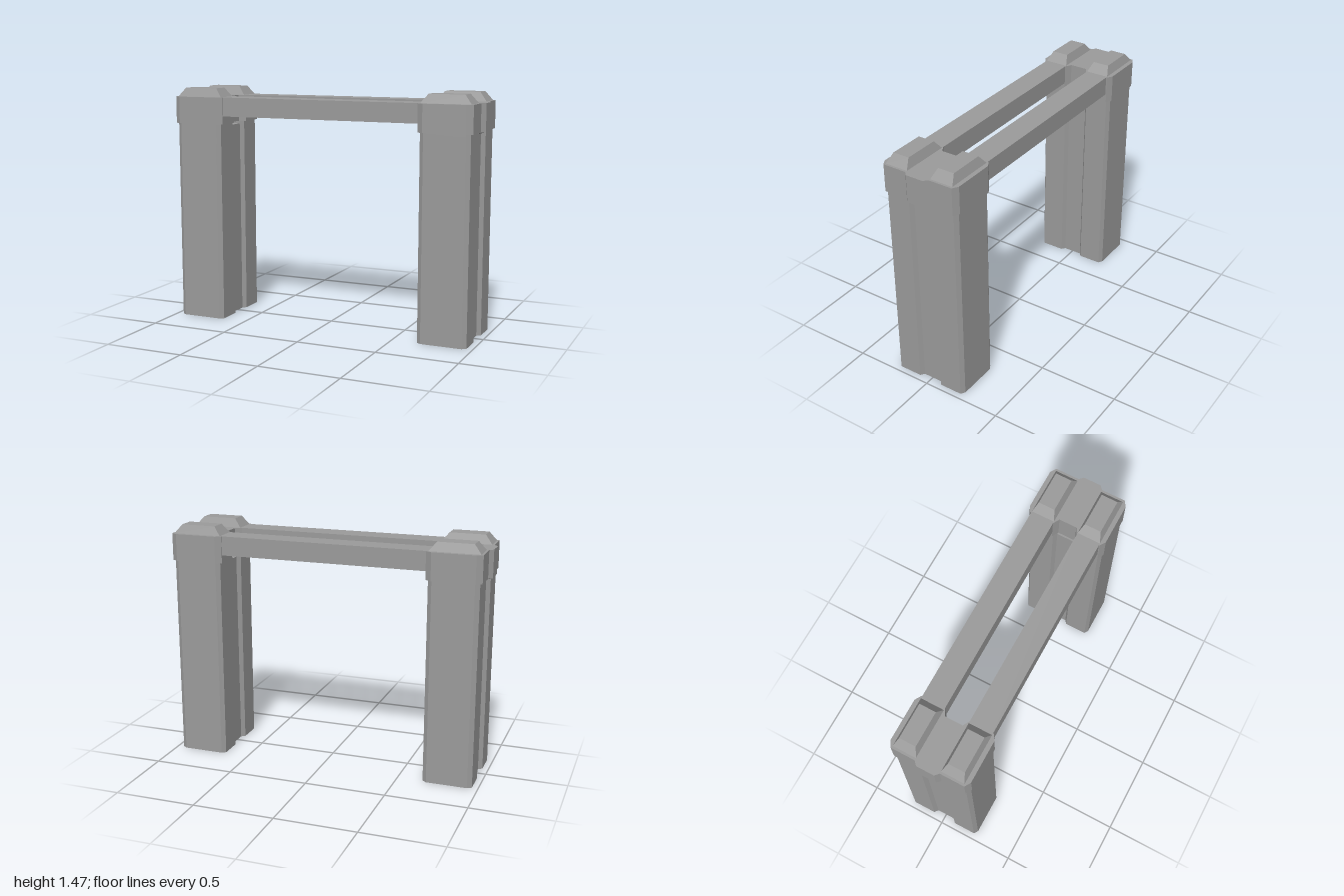
import * as THREE from 'three';

const material = new THREE.MeshStandardMaterial({ color: 0x9a9a9a, flatShading: true });
const thinMaterial = material.clone();
thinMaterial.side = THREE.DoubleSide;

function add(parent, name, geometry, mat = material) {
  const mesh = new THREE.Mesh(geometry, mat);
  mesh.name = name;
  parent.add(mesh);
  return mesh;
}

// Upright prism from a half plan of [x, z] points (z >= 0), mirrored across z = 0
function mirroredPrism(half, y0, y1) {
  const plan = [...half, ...half.map(([x, z]) => [x, -z]).reverse()];
  return prism(plan, y0, y1);
}

// Upright prism from a closed plan of [x, z] points
function prism(plan, y0, y1) {
  const shape = new THREE.Shape(plan.map(([x, z]) => new THREE.Vector2(x, -z)));
  const geometry = new THREE.ExtrudeGeometry(shape, { depth: y1 - y0, bevelEnabled: false });
  return geometry.rotateX(-Math.PI / 2).translate(0, y0, 0);
}

// Box with its top face inset on all sides
function frustum(x0, x1, z0, z1, y0, y1, insetX, insetZ) {
  const geometry = new THREE.BoxGeometry(x1 - x0, y1 - y0, z1 - z0);
  const p = geometry.attributes.position;
  for (let i = 0; i < p.count; i++) {
    if (p.getY(i) > 0) {
      p.setX(i, p.getX(i) - Math.sign(p.getX(i)) * insetX);
      p.setZ(i, p.getZ(i) - Math.sign(p.getZ(i)) * insetZ);
    }
  }
  geometry.computeVertexNormals();
  return geometry.translate((x0 + x1) / 2, (y0 + y1) / 2, (z0 + z1) / 2);
}

function buildPost() {
  const post = new THREE.Group();

  // Leg: two chamfered columns joined by a recessed web
  const column = [[0.938, 0.06], [0.962, 0.078], [0.962, 0.223], [0.936, 0.24],
    [0.682, 0.24], [0.657, 0.223], [0.657, 0.078], [0.68, 0.06]];
  add(post, 'leg', mirroredPrism(column, 0, 1.235));

  // Column tops rise past the web to meet the cap
  for (const s of [1, -1]) {
    add(post, 'columnTop', prism(column.map(([x, z]) => [x, s * z]), 1.235, 1.253));
  }

  // Cap: middle is pushed outwards, proud outside and recessed inside
  const cap = [[1.0, 0.055], [0.976, 0.078], [0.976, 0.228], [0.94, 0.25],
    [0.679, 0.25], [0.643, 0.228], [0.643, 0.078], [0.683, 0.055]];
  add(post, 'cap', mirroredPrism(cap, 1.252, 1.42));

  // Small gussets from the cap's proud middle down to the web
  for (const s of [1, -1]) {
    const points = [[1.0, 1.252, 0.055], [0.976, 1.252, 0.078], [0.938, 1.235, 0.06]]
      .map(([x, y, z]) => new THREE.Vector3(x, y, s * z));
    const gusset = new THREE.BufferGeometry().setFromPoints(points);
    gusset.setIndex(s > 0 ? [0, 2, 1] : [0, 1, 2]);
    gusset.computeVertexNormals();
    add(post, 'gusset', gusset, thinMaterial);
  }

  // Sloped blocks on top
  for (const s of [1, -1]) {
    const block = frustum(0.655, 0.962, -0.0725, 0.0725, 1.42, 1.474, 0.044, 0.021);
    add(post, 'topBlock', block.translate(0, 0, s * 0.1505));
  }
  return post;
}

export function createModel() {
  const model = new THREE.Group();
  model.name = 'gateway';

  // Two posts, the second turned half round
  for (const side of ['left', 'right']) {
    const post = buildPost();
    post.name = side + 'Post';
    if (side === 'right') post.rotation.y = Math.PI;
    model.add(post);
  }

  // Twin beams spanning the posts
  for (const [name, s] of [['frontBeam', 1], ['backBeam', -1]]) {
    add(model, name, new THREE.BoxGeometry(1.3, 0.118, 0.145)).position.set(0, 1.361, s * 0.1505);
  }
  return model;
}
